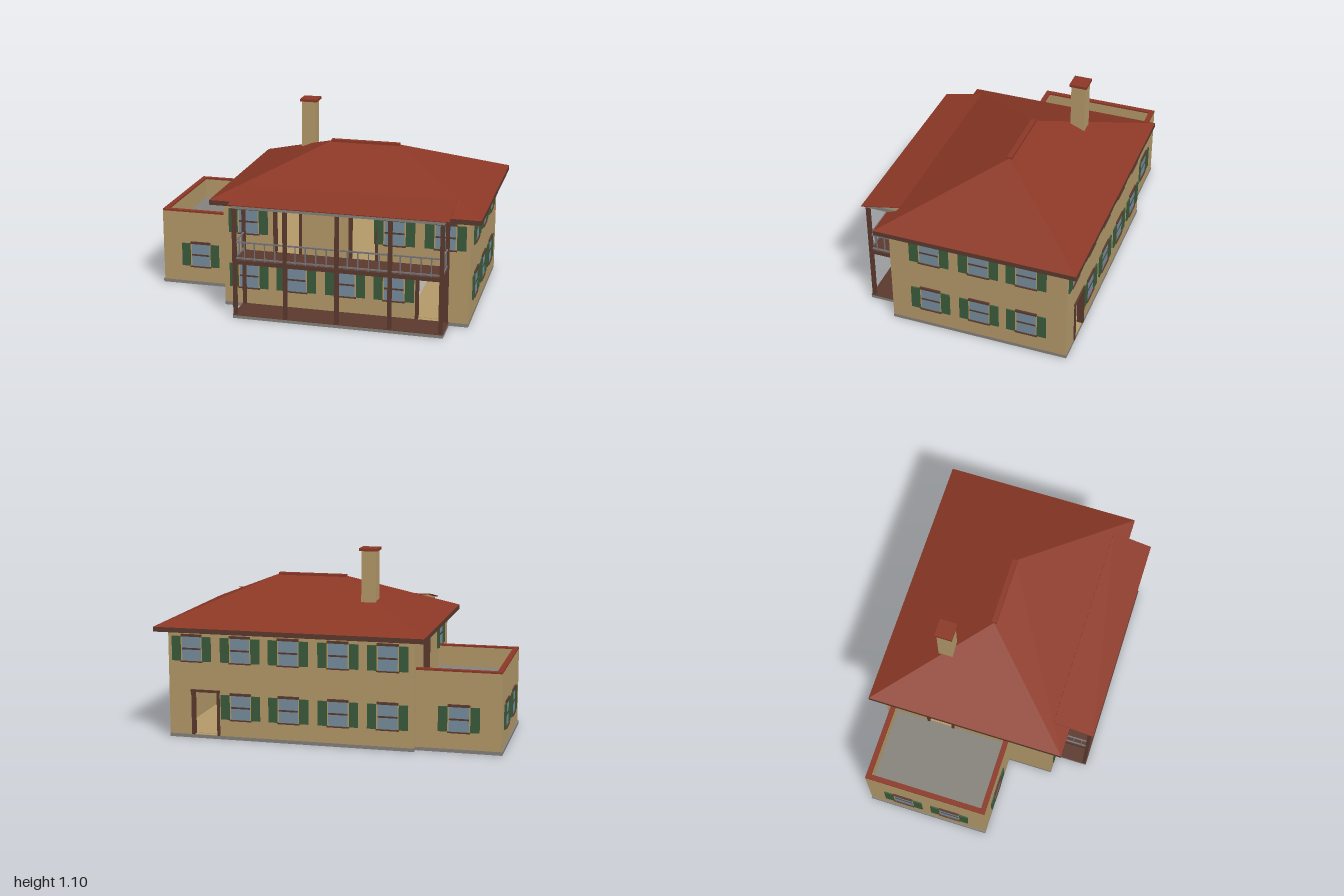
import * as THREE from 'three';

const mat = (name, color, side = THREE.FrontSide) => {
  const m = new THREE.MeshStandardMaterial({ color, side });
  m.name = name;
  return m;
};

export function createModel() {
  const house = new THREE.Group();
  house.name = 'house';
  const wallTan = mat('wall tan', 0xb49a6a);
  const tile = mat('roof tile', 0x8c3826, THREE.DoubleSide);
  const wood = mat('dark wood', 0x5c3a2e);
  const green = mat('shutter green', 0x3b5c3d);
  const glass = mat('window glass', 0x768e9e);
  const stone = mat('stone grey', 0x86827c);
  const plaster = mat('plaster', 0xd6d2ca);
  const iron = mat('railing grey', 0x77757a);

  const add = (parent, name, geo, m) => {
    const mesh = new THREE.Mesh(geo, m);
    mesh.name = name;
    parent.add(mesh);
    return mesh;
  };
  // Box given by its lower and upper limits
  const box = (name, m, x0, x1, y0, y1, z0, z1, parent = house) => {
    const b = add(parent, name, new THREE.BoxGeometry(x1 - x0, y1 - y0, z1 - z0), m);
    b.position.set((x0 + x1) / 2, (y0 + y1) / 2, (z0 + z1) / 2);
    return b;
  };
  const group = (name, x, y, z, turn) => {
    const g = new THREE.Group();
    g.name = name;
    g.position.set(x, y, z);
    g.rotation.y = turn;
    house.add(g);
    return g;
  };

  // Foundations
  box('mainFoundation', stone, -0.51, 0.93, 0, 0.02, -0.597, 0.452);
  box('annexFoundation', stone, -1, -0.51, 0, 0.02, -0.555, 0.18);
  box('porchFoundation', stone, -0.4, 0.82, 0, 0.018, 0.45, 0.645);
  box('porchFloor', wood, -0.4, 0.82, 0.018, 0.021, 0.452, 0.645);

  // Main walls, with openings given as [x0, x1, y0, y1]; each faces its local +z
  const wall = (name, x0, x1, holes, x, z, turn) => {
    const rect = (T, a, b, c, d) => {
      const s = new T();
      s.moveTo(a, c); s.lineTo(b, c); s.lineTo(b, d); s.lineTo(a, d); s.closePath();
      return s;
    };
    const s = rect(THREE.Shape, x0, x1, 0.02, 0.635);
    holes.forEach(h => s.holes.push(rect(THREE.Path, ...h)));
    const geo = new THREE.ExtrudeGeometry(s, { depth: 0.03, bevelEnabled: false });
    geo.translate(0, 0, -0.03);
    add(group(name + 'Side', x, 0, z, turn), name, geo, wallTan);
  };
  const H = Math.PI / 2;
  wall('frontWall', -0.51, 0.93,
    [[-0.195, -0.053, 0.35, 0.608], [0.248, 0.392, 0.35, 0.608], [0.64, 0.78, 0.021, 0.272]], 0, 0.45, 0);
  wall('backWall', -0.93, 0.51, [[-0.78, -0.64, 0.021, 0.272]], 0, -0.595, 2 * H);
  wall('leftWall', -0.42, 0.565, [], 0.93, 0, H);
  wall('rightWall', -0.565, 0.42, [[-0.32, -0.18, 0.35, 0.608]], -0.51, 0, -H);

  // Interior floors, ceiling and linings seen through the doorways
  box('groundFloor', wallTan, -0.48, 0.9, 0.02, 0.023, -0.565, 0.42);
  box('upperFloor', wallTan, -0.48, 0.9, 0.335, 0.348, -0.565, 0.42);
  box('hallCeiling', plaster, -0.48, 0.9, 0.325, 0.335, -0.565, 0.42);
  box('hallPartition', plaster, 0.56, 0.58, 0.023, 0.325, -0.565, 0.42);
  box('upperBackLining', plaster, -0.48, 0.9, 0.348, 0.62, -0.565, -0.56);
  box('terraceDoorLeaf', plaster, -0.485, -0.478, 0.348, 0.608, -0.32, -0.18);

  // Door frames
  const doorFrame = (x, y0, h, z, turn) => {
    const g = group('doorFrame', x, y0, z, turn);
    for (const s of [-1, 1]) {
      const c = s * 0.077;
      box('doorJamb', wood, c - 0.008, c + 0.008, 0, h, -0.03, 0.008, g);
    }
    box('doorHeader', wood, -0.088, 0.088, h - 0.014, h, -0.03, 0.01, g);
  };
  doorFrame(-0.124, 0.348, 0.272, 0.45, 0);
  doorFrame(0.32, 0.348, 0.272, 0.45, 0);
  doorFrame(0.71, 0.021, 0.266, 0.45, 0);
  doorFrame(0.71, 0.021, 0.266, -0.595, 2 * H);
  doorFrame(-0.51, 0.348, 0.272, -0.25, -H);

  // Shuttered windows, y measured at the sill
  const LOW = 0.113, HIGH = 0.446;
  const shutteredWindow = (x, y, z, turn) => {
    const g = group('window', x, y, z, turn);
    box('pane', glass, -0.056, 0.056, 0.005, 0.15, 0, 0.003, g);
    box('sashRail', wood, -0.056, 0.056, 0.073, 0.083, 0, 0.005, g);
    box('sill', wood, -0.065, 0.065, 0, 0.007, 0, 0.01, g);
    box('lintel', wood, -0.062, 0.062, 0.149, 0.163, 0, 0.01, g);
    for (const s of [-1, 1])
      box('shutter', green, s * 0.091 - 0.026, s * 0.091 + 0.026, 0.007, 0.15, 0, 0.008, g);
  };
  const columns = [-0.36, -0.075, 0.215, 0.5, 0.79];
  columns.forEach((x, i) => {
    shutteredWindow(x, HIGH, -0.595, 2 * H);
    if (i < 4) {
      shutteredWindow(x, LOW, -0.595, 2 * H);
      shutteredWindow(x, LOW, 0.45, 0);
    }
    if (i === 0 || i > 2) shutteredWindow(x, HIGH, 0.45, 0);
  });
  for (const z of [0.213, -0.08, -0.36])
    for (const y of [LOW, HIGH]) shutteredWindow(0.93, y, z, H);
  shutteredWindow(-0.51, HIGH, 0.213, -H);
  shutteredWindow(-0.755, LOW, 0.18, 0);
  shutteredWindow(-0.755, LOW, -0.555, 2 * H);
  for (const z of [-0.335, -0.045]) shutteredWindow(-0.992, LOW, z, -H);

  // Annex with a parapet around its flat roof
  const ring = (name, m, y0, y1, w) => {
    box(name + 'Front', m, -0.992, -0.51, y0, y1, 0.18 - w, 0.18);
    box(name + 'Back', m, -0.992, -0.51, y0, y1, -0.555, -0.555 + w);
    box(name + 'Side', m, -0.992, -0.992 + w, y0, y1, -0.555 + w, 0.18 - w);
  };
  ring('annexWall', wallTan, 0.02, 0.46, 0.028);
  ring('parapetCap', tile, 0.46, 0.47, 0.03);
  box('annexRoof', stone, -0.97, -0.51, 0.325, 0.34, -0.53, 0.155);

  // Hipped main roof
  box('eaves', wood, -0.575, 0.995, 0.627, 0.655, -0.662, 0.512);
  const e = [[-0.575, 0.655, 0.512], [0.995, 0.655, 0.512], [0.995, 0.655, -0.662], [-0.575, 0.655, -0.662]];
  const r0 = [0.005, 0.9, -0.075], r1 = [0.415, 0.9, -0.075];
  const hip = new THREE.BufferGeometry();
  const faces = [e[0], e[1], r1, e[0], r1, r0, e[1], e[2], r1, e[2], e[3], r0, e[2], r0, r1, e[3], e[0], r0];
  hip.setAttribute('position', new THREE.Float32BufferAttribute(faces.flat(), 3));
  hip.computeVertexNormals();
  add(house, 'mainRoof', hip, tile);
  box('ridgeCap', tile, 0.003, 0.417, 0.89, 0.908, -0.09, -0.06);

  // Chimney
  box('chimney', wallTan, -0.233, -0.147, 0.68, 1.085, -0.338, -0.252);
  box('chimneyCap', tile, -0.242, -0.136, 1.084, 1.1, -0.347, -0.243);

  // Porch posts and balcony deck
  const posts = [-0.387, -0.09, 0.21, 0.513, 0.803];
  posts.forEach((x, i) => {
    box('porchPost', wood, x - 0.011, x + 0.011, 0.02, 0.66, 0.621, 0.641);
    if (i % 4 === 0) box('wallPost', wood, x - 0.011, x + 0.011, 0.02, 0.66, 0.445, 0.463);
  });
  box('balconyDeck', wood, -0.395, 0.812, 0.328, 0.352, 0.45, 0.641);

  // Balcony railing
  for (const y of [0.362, 0.458]) {
    box('frontRail', iron, -0.387, 0.803, y - 0.004, y + 0.004, 0.627, 0.635);
    for (const x of [-0.387, 0.803]) box('sideRail', iron, x - 0.004, x + 0.004, y - 0.004, y + 0.004, 0.46, 0.63);
  }
  const baluster = (x, z) => box('baluster', iron, x - 0.003, x + 0.003, 0.352, 0.456, z - 0.003, z + 0.003);
  for (let b = 0; b < 4; b++)
    for (let i = 1; i < 5; i++) baluster(posts[b] + (posts[b + 1] - posts[b]) * i / 5, 0.631);
  for (const x of [-0.387, 0.803])
    for (const z of [0.495, 0.545, 0.593]) baluster(x, z);

  // Porch roof: ceiling frame, wedge gables and a thin sloping tile sheet
  box('porchCeiling', stone, -0.395, 0.815, 0.658, 0.68, 0.45, 0.643);
  const wedge = new THREE.Shape([[-0.643, 0.68], [-0.448, 0.68], [-0.448, 0.72]].map(p => new THREE.Vector2(...p)));
  const wedgeGeo = new THREE.ExtrudeGeometry(wedge, { depth: 1.2, bevelEnabled: false });
  wedgeGeo.rotateY(H);
  add(house, 'porchGable', wedgeGeo, wallTan).position.x = -0.39;
  const slope = Math.atan2(0.05, 0.238);
  const sheet = add(house, 'porchRoof', new THREE.BoxGeometry(1.255, 0.004, 0.243), tile);
  sheet.position.set(0.213, 0.704, 0.536);
  sheet.rotation.x = slope;

  return house;
}
